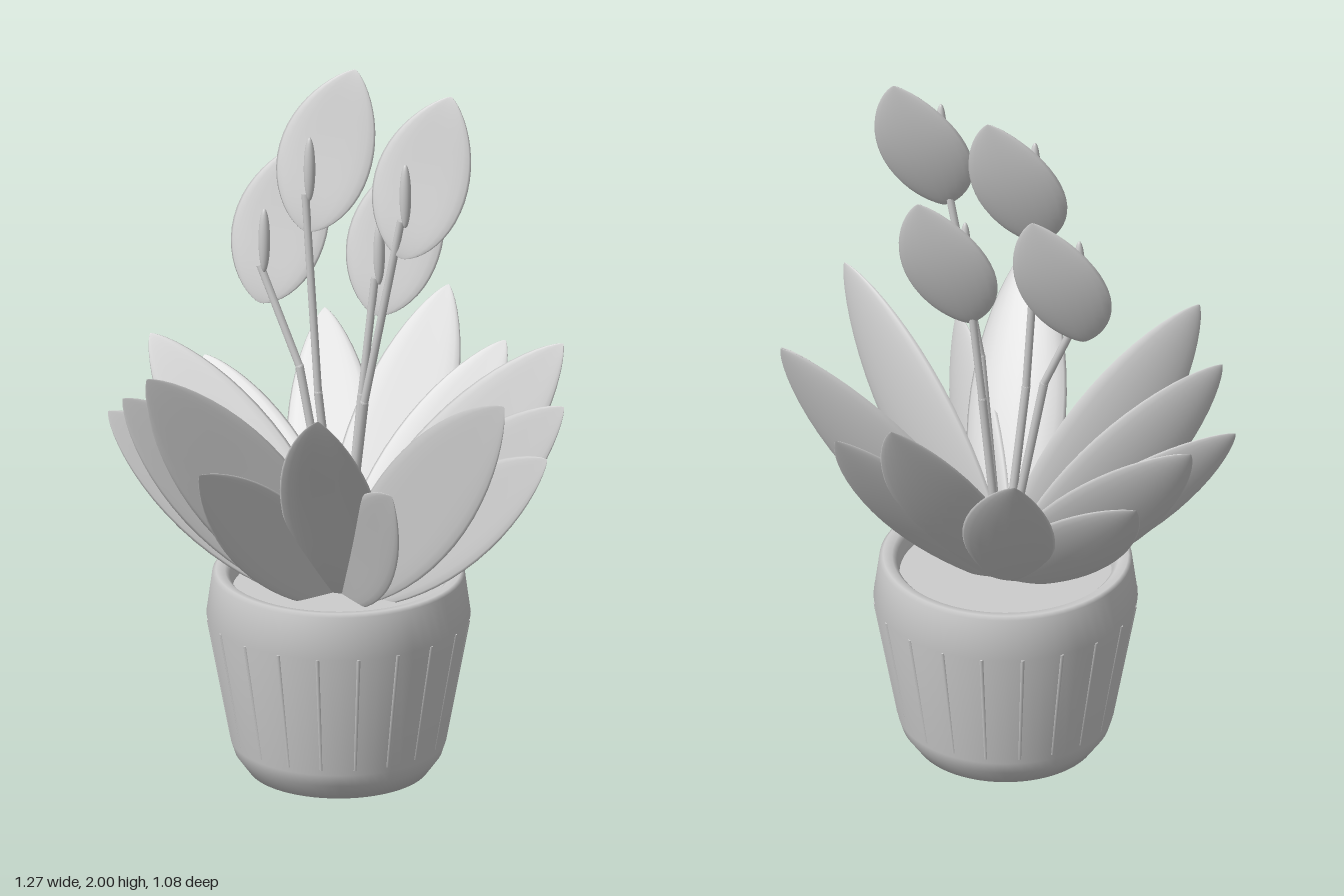
import * as THREE from 'three';

const V = (x, y, z) => new THREE.Vector3(x, y, z);
const FACING = V(0.24, 0.5, 0.83).normalize(); // light the blades turn towards

// Plump pointed blade with a lens cross-section, its face turned towards FACING
function bladeGeometry(base, tip, width, power, bow, sway) {
  const axis = tip.clone().sub(base), d = axis.clone().normalize();
  const n = FACING.clone().addScaledVector(d, -FACING.dot(d)).normalize();
  const w = n.clone().cross(d);
  const rows = 24, ring = 20, taper = 0.78, pos = [], idx = [];
  const shape = (t) => Math.pow(t, power) * Math.pow(1 - t, taper);
  const peak = shape(power / (power + taper));
  for (let i = 0; i <= rows; i++) {
    const t = (1 - Math.cos(Math.PI * i / rows)) / 2, arc = Math.sin(Math.PI * t);
    const half = 0.5 * width * shape(t) / peak;
    for (let j = 0; j < ring; j++) {
      const a = j / ring * Math.PI * 2, c = Math.cos(a);
      const lift = half * (0.14 * Math.sin(a) + 0.08 * c * c) - bow * arc;
      const p = base.clone().addScaledVector(axis, t)
        .addScaledVector(w, half * c - sway * arc).addScaledVector(n, lift);
      pos.push(p.x, p.y, p.z);
    }
  }
  for (let i = 0; i < rows; i++) {
    for (let j = 0; j < ring; j++) {
      const a = i * ring + j, b = i * ring + (j + 1) % ring;
      idx.push(a, b, a + ring, b, b + ring, a + ring);
    }
  }
  const g = new THREE.BufferGeometry();
  g.setAttribute('position', new THREE.Float32BufferAttribute(pos, 3));
  g.setIndex(idx);
  g.computeVertexNormals();
  return g;
}

export function createModel() {
  const root = new THREE.Group();
  const grey = new THREE.MeshStandardMaterial({ color: 0xcccccc });
  grey.name = 'light grey';
  const add = (name, geometry, parent = root) => {
    const m = new THREE.Mesh(geometry, grey);
    m.name = name;
    parent.add(m);
    return m;
  };
  const group = (name) => {
    const g = new THREE.Group();
    g.name = name;
    root.add(g);
    return g;
  };
  // Straight round rod between two points
  const rod = (name, a, b, r, parent) => {
    const dir = b.clone().sub(a);
    const m = add(name, new THREE.CylinderGeometry(r, r, dir.length(), 10), parent);
    m.position.copy(a).add(b).multiplyScalar(0.5);
    m.quaternion.setFromUnitVectors(V(0, 1, 0), dir.normalize());
  };

  // Pot with a chamfered foot and a softly rounded lip
  const pot = group('pot');
  pot.position.set(-0.007, 0, 0.007);
  const profile = [[0, 0], [0.248, 0], [0.284, 0.05], [0.295, 0.085], [0.361, 0.45],
    [0.345, 0.568], [0.335, 0.577], [0.31, 0.573], [0.297, 0.56], [0.288, 0.51]];
  add('potBody', new THREE.LatheGeometry(profile.map(([x, y]) => new THREE.Vector2(x, y)), 64), pot);
  const soil = add('soil', new THREE.CircleGeometry(0.292, 48), pot);
  soil.rotation.x = -Math.PI / 2;
  soil.position.y = 0.52;

  // Slim ribs that sink into the wall towards the foot
  for (let i = 0; i < 20; i++) {
    const a = i / 20 * Math.PI * 2;
    rod('rib', V(Math.sin(a) * 0.293, 0.1, Math.cos(a) * 0.293),
      V(Math.sin(a) * 0.358, 0.45, Math.cos(a) * 0.358), 0.006, pot);
  }

  // Leaves: tip positions
  const leaves = group('leaves');
  const tips = [
    [0.05, 1.23, -0.54], [0.25, 1.12, -0.49], [0.53, 1.23, -0.29], [0.62, 1.12, -0.12], [0.63, 1.01, 0],
    [0.6, 1.23, 0.2], [0.38, 1.01, 0.44], [0.2, 1.23, 0.53], [-0.16, 1.01, 0.54], [-0.36, 1.23, 0.465],
    [-0.48, 1.12, 0.375], [-0.6, 1.01, 0.23], [-0.635, 1.12, -0.09], [-0.56, 1.01, -0.265], [-0.3, 1.12, -0.48],
  ];
  for (const p of tips) {
    const tip = V(...p), base = V(0, 0.48, 0.01);
    add('leaf', bladeGeometry(base, tip, 0.3 * tip.distanceTo(base), 0.75, 0.015, 0), leaves);
  }

  // Flowers: spathe tip and stem bend
  const flowers = [
    { tip: V(-0.172, 1.75, -0.145), bend: V(-0.125, 1.15, 0.01) },
    { tip: V(-0.015, 2, -0.11), bend: V(-0.05, 1.1, 0.045) },
    { tip: V(0.15, 1.75, -0.205), bend: V(0.04, 1.08, -0.04) },
    { tip: V(0.31, 2, -0.05), bend: V(0.12, 1.12, 0.1) },
  ];
  for (const { tip, bend } of flowers) {
    const flower = group('flower');
    const base = tip.clone().add(V(-0.075, -0.435, 0.155));
    add('spathe', bladeGeometry(base, tip, 0.265, 0.65, 0.015, -0.01), flower);
    const top = tip.clone().add(V(-0.077, -0.325, 0.15));
    rod('lowerStem', V(0, 0.5, 0), bend, 0.012, flower);
    rod('upperStem', bend, top, 0.011, flower);
    const joint = add('stemJoint', new THREE.SphereGeometry(0.012, 10, 8), flower);
    joint.position.copy(bend);
    const spadix = add('spadix', new THREE.SphereGeometry(1, 16, 16), flower);
    spadix.scale.set(0.016, 0.093, 0.016);
    spadix.position.copy(tip).add(V(-0.045, -0.235, 0.187));
  }
  return root;
}
